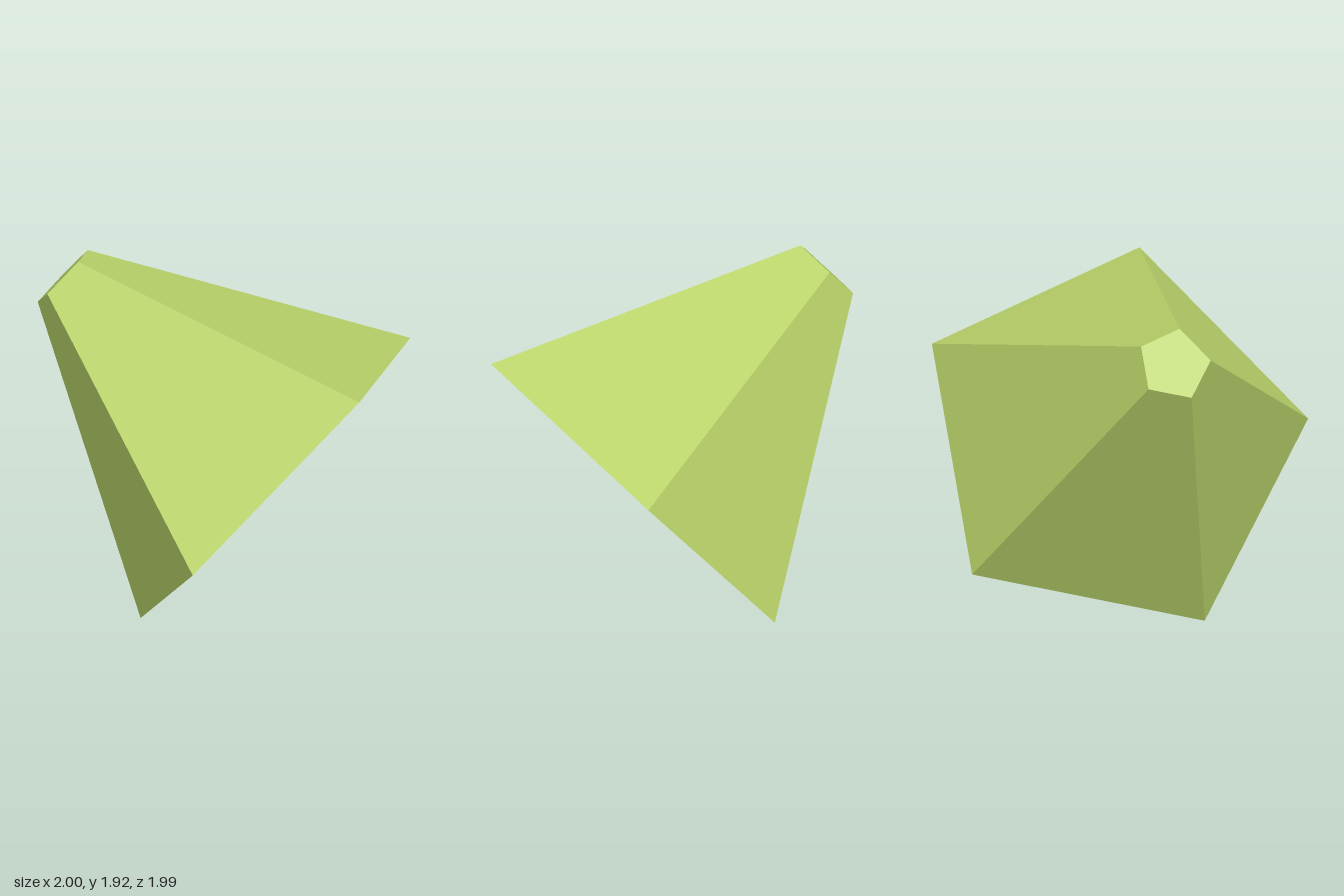
import * as THREE from 'three';

export function createModel() {
  const group = new THREE.Group();
  group.name = 'tiltedFrustum';

  const lime = new THREE.MeshStandardMaterial({ color: 0xbad36a });
  lime.name = 'lime green';
  lime.flatShading = true;

  // Centres of the wide and narrow ends, and one corner of the wide end
  const wide = new THREE.Vector3(0.314, 0.811, -0.066);
  const narrow = new THREE.Vector3(-0.896, 1.77, 0.156);
  const corner = new THREE.Vector3(0.995, 1.621, 0.147);

  // Axes of the tilted solid: along its length, and towards the corner
  const along = narrow.clone().sub(wide);
  const height = along.length();
  along.normalize();
  const out = corner.sub(wide);
  out.addScaledVector(along, -out.dot(along)).normalize();
  const side = new THREE.Vector3().crossVectors(along, out);

  // Five-sided truncated cone, closed at both ends
  const geometry = new THREE.CylinderGeometry(0.2, 1.08, height, 5);
  geometry.applyMatrix4(new THREE.Matrix4()
    .makeBasis(side, along, out)
    .setPosition(wide.clone().add(narrow).multiplyScalar(0.5)));

  const body = new THREE.Mesh(geometry, lime);
  body.name = 'body';
  group.add(body);
  return group;
}
